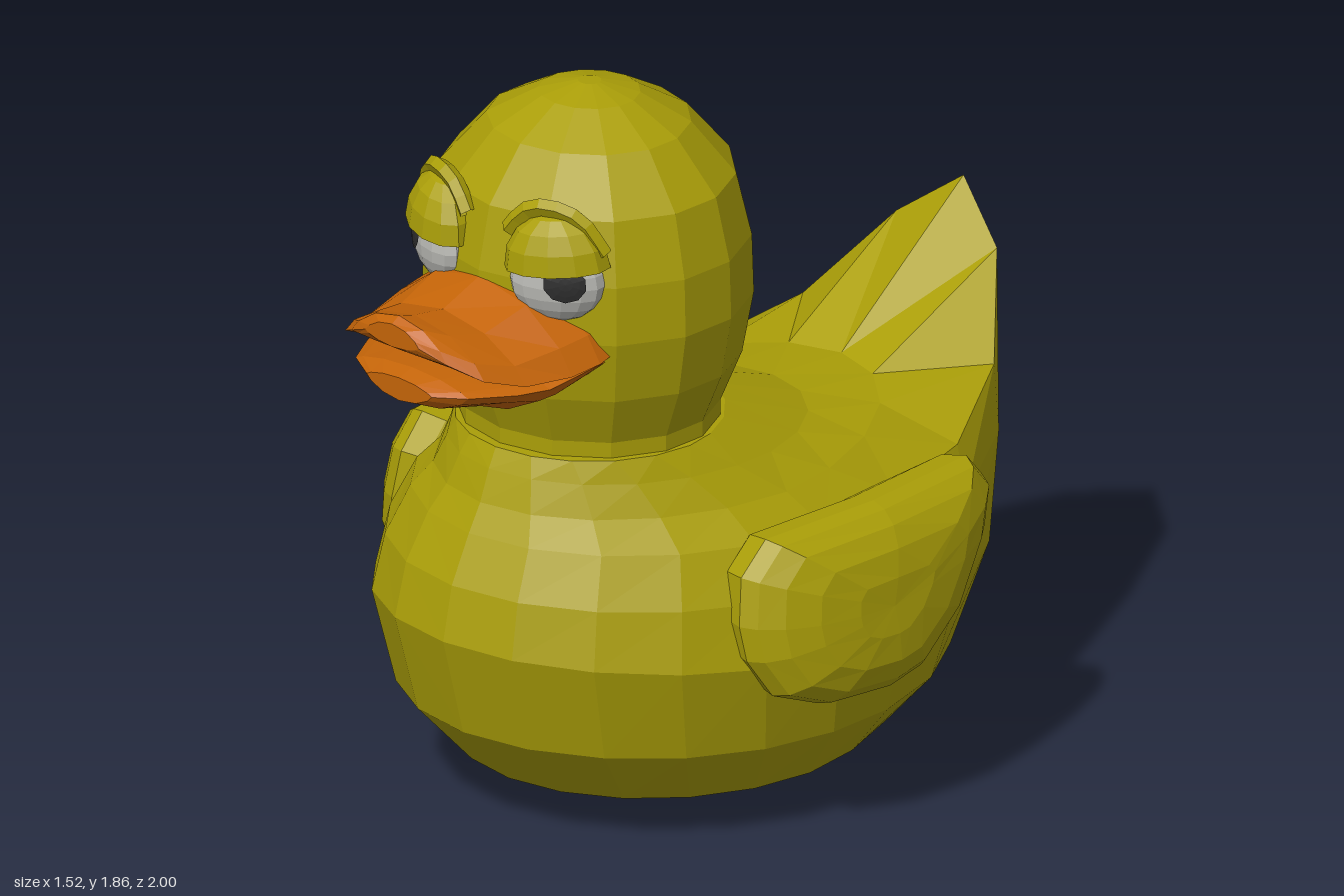
import * as THREE from 'three';

const V = (x, y, z) => new THREE.Vector3(x, y, z);
const mat = (name, color) => {
  const m = new THREE.MeshStandardMaterial({ color });
  m.name = name;
  return m;
};

// Gives a geometry hard facets
function facet(geo) {
  const g = geo.index ? geo.toNonIndexed() : geo;
  g.computeVertexNormals();
  return g;
}

// Skins closed rings of points and closes both ends with fans
function loft(rings) {
  const pos = [];
  const tri = (...ps) => ps.forEach((p) => pos.push(p.x, p.y, p.z));
  const n = rings[0].length;
  const mid = (r) => r.reduce((s, p) => s.add(p), V(0, 0, 0)).divideScalar(n);
  const last = rings[rings.length - 1];
  const c0 = mid(rings[0]), c1 = mid(last);
  for (let j = 0; j < n; j++) {
    const k = (j + 1) % n;
    tri(c0, rings[0][k], rings[0][j]);
    for (let i = 0; i < rings.length - 1; i++) {
      const a = rings[i], b = rings[i + 1];
      // Diagonals mirror each other on the two halves
      if (j < n / 2) {
        tri(a[j], a[k], b[k]);
        tri(a[j], b[k], b[j]);
      } else {
        tri(a[j], a[k], b[j]);
        tri(a[k], b[k], b[j]);
      }
    }
    tri(c1, last[j], last[k]);
  }
  const g = new THREE.BufferGeometry();
  g.setAttribute('position', new THREE.Float32BufferAttribute(pos, 3));
  return facet(g);
}

// Egg-shaped ring whose height differs at front, side and back
function bodyRing([yF, yS, yB, front, back, w, zc, p], n = 20) {
  return Array.from({ length: n }, (_, j) => {
    const a = (j / n) * Math.PI * 2, c = Math.cos(a);
    const t = Math.abs(c);
    return c >= 0
      ? V(w * Math.sin(a), yS + (yF - yS) * t, zc + (front - zc) * t)
      : V(w * Math.sin(a), yS + (yB - yS) * t ** p, zc + (back - zc) * t ** 1.15);
  });
}

// Beak slice: ridged top and keeled bottom meeting at a side edge
function beakRing([z, w, top, edge, bottom]) {
  const ring = [], n = 6;
  for (let j = 0; j < n * 2; j++) {
    const a = (j / n) * Math.PI, s = Math.sin(a);
    const y = edge + ((s >= 0 ? top : bottom) - edge) * Math.abs(s) ** 1.5;
    ring.push(V(w * Math.cos(a), y, z));
  }
  return ring;
}

export function createModel() {
  const group = new THREE.Group();
  group.name = 'duck';
  const yellow = mat('yellow', 0xaa9e08);
  yellow.side = THREE.DoubleSide;
  const orange = mat('orange', 0xc46408);
  const white = mat('eye white', 0xb9b9b4);
  const black = mat('pupil black', 0x2c2c2c);
  const add = (name, geo, m, parent = group) => {
    const mesh = new THREE.Mesh(geo, m);
    mesh.name = name;
    parent.add(mesh);
    return mesh;
  };

  // Body: bottom to the rim with raised tail, then inward to the neck
  add('body', loft([
    [0.005, 0.005, 0.005, 0.15, -0.2, 0.15, 0, 1],
    [0.025, 0.025, 0.03, 0.36, -0.48, 0.34, 0, 1],
    [0.11, 0.1, 0.1, 0.6, -0.62, 0.49, 0.05, 1],
    [0.28, 0.25, 0.2, 0.76, -0.77, 0.6, 0.08, 1],
    [0.54, 0.47, 0.45, 0.83, -0.92, 0.64, 0.1, 1],
    [0.68, 0.64, 0.8, 0.8, -0.98, 0.61, 0.08, 3],
    [0.8, 0.77, 1.22, 0.74, -1, 0.55, 0.06, 6.5],
    [0.87, 0.85, 0.88, 0.7, -0.57, 0.46, 0.1, 2],
    [0.95, 0.93, 0.895, 0.67, -0.33, 0.39, 0.2, 1],
    [1, 1, 1, 0.645, -0.03, 0.335, 0.31, 1],
  ].map((r) => bodyRing(r))), yellow);

  // Head group, set slightly to one side
  const headGroup = new THREE.Group();
  headGroup.name = 'headGroup';
  headGroup.position.x = -0.01;
  group.add(headGroup);
  add('head', loft([
    [0.98, 0.335], [1.04, 0.335], [1.17, 0.39], [1.33, 0.42], [1.48, 0.415],
    [1.64, 0.375], [1.77, 0.26], [1.84, 0.13], [1.865, 0.03],
  ].map(([y, r]) => bodyRing([y, y, y, 0.305 + r * 0.94, 0.305 - r * 0.97, r, 0.305, 1], 14))), yellow, headGroup);

  // Beak halves, meeting at the mouth corners
  add('upperBeak', loft([
    [0.55, 0.31, 1.48, 1.3, 1.27], [0.6, 0.32, 1.475, 1.295, 1.27], [0.69, 0.31, 1.465, 1.285, 1.29],
    [0.82, 0.28, 1.415, 1.29, 1.31], [0.92, 0.235, 1.43, 1.32, 1.335],
    [0.975, 0.16, 1.445, 1.36, 1.355], [1, 0.09, 1.43, 1.39, 1.37],
  ].map(beakRing)), orange, headGroup);
  add('lowerBeak', loft([
    [0.55, 0.3, 1.31, 1.285, 1.19], [0.69, 0.295, 1.3, 1.27, 1.14],
    [0.74, 0.285, 1.295, 1.26, 1.145], [0.82, 0.255, 1.295, 1.26, 1.18],
    [0.93, 0.19, 1.295, 1.265, 1.2], [0.975, 0.11, 1.28, 1.26, 1.22],
  ].map(beakRing)), orange, headGroup);

  // Wing outline as [z, y]
  const outline = [
    [0.4, 0.62], [0.39, 0.53], [0.33, 0.43], [0.2, 0.38], [0, 0.37], [-0.12, 0.39],
    [-0.3, 0.5], [-0.44, 0.66], [-0.48, 0.75], [-0.42, 0.82], [-0.05, 0.825],
    [0.3, 0.82], [0.38, 0.74],
  ];
  for (const s of [1, -1]) {
    const side = s > 0 ? 'left' : 'right';

    // Padded wing, bowed along its length and leaning out at the bottom
    const wingRings = [[0.8, -0.13], [0.95, -0.07], [1, 0], [0.95, 0.04], [0.82, 0.075], [0.6, 0.1], [0.3, 0.11]]
      .map(([k, dx]) => {
        const ring = outline.map(([oz, oy]) => {
          const z = 0.02 + (oz - 0.02) * k, y = 0.61 + (oy - 0.61) * k;
          const bow = (z > 0 ? 0.32 : 0.24) * z * z;
          return V(s * (0.642 + dx - 0.15 * (y - 0.6) - bow), y, z);
        });
        return s > 0 ? ring : ring.reverse();
      });
    add(side + 'Wing', loft(wingRings), yellow);

    // Flattened eye lying on the head, with pupil and drooping lid
    const eye = new THREE.Group();
    eye.name = side + 'EyeGroup';
    eye.position.set(s * 0.195, 1.485, 0.62);
    eye.rotation.y = s * 0.5;
    headGroup.add(eye);
    add(side + 'Eye', facet(new THREE.SphereGeometry(1, 14, 10)), white, eye).scale.set(0.12, 0.1, 0.065);
    const cap = new THREE.SphereGeometry(1, 10, 3, 0, Math.PI * 2, 0, 0.47);
    cap.applyQuaternion(new THREE.Quaternion().setFromUnitVectors(
      V(0, 1, 0), V(s * 0.3, 0.18, 0.93).normalize()));
    add(side + 'Pupil', facet(cap), black, eye).scale.set(0.124, 0.104, 0.069);
    const lid = add(side + 'Eyelid',
      facet(new THREE.SphereGeometry(1, 12, 4, 0, Math.PI * 2, 0, Math.PI / 2)), yellow, eye);
    lid.position.set(0, 0.04, 0);
    lid.rotation.z = s * 0.08;
    lid.scale.set(0.135, 0.14, 0.085);

    // Brow arching over the lid
    const browPath = new THREE.CatmullRomCurve3([
      V(s * 0.07, 1.6, 0.66), V(s * 0.12, 1.66, 0.65), V(s * 0.18, 1.68, 0.635),
      V(s * 0.25, 1.655, 0.6), V(s * 0.3, 1.57, 0.565),
    ]);
    add(side + 'Brow', facet(new THREE.TubeGeometry(browPath, 8, 0.023, 5)), yellow, headGroup);
  }
  return group;
}
